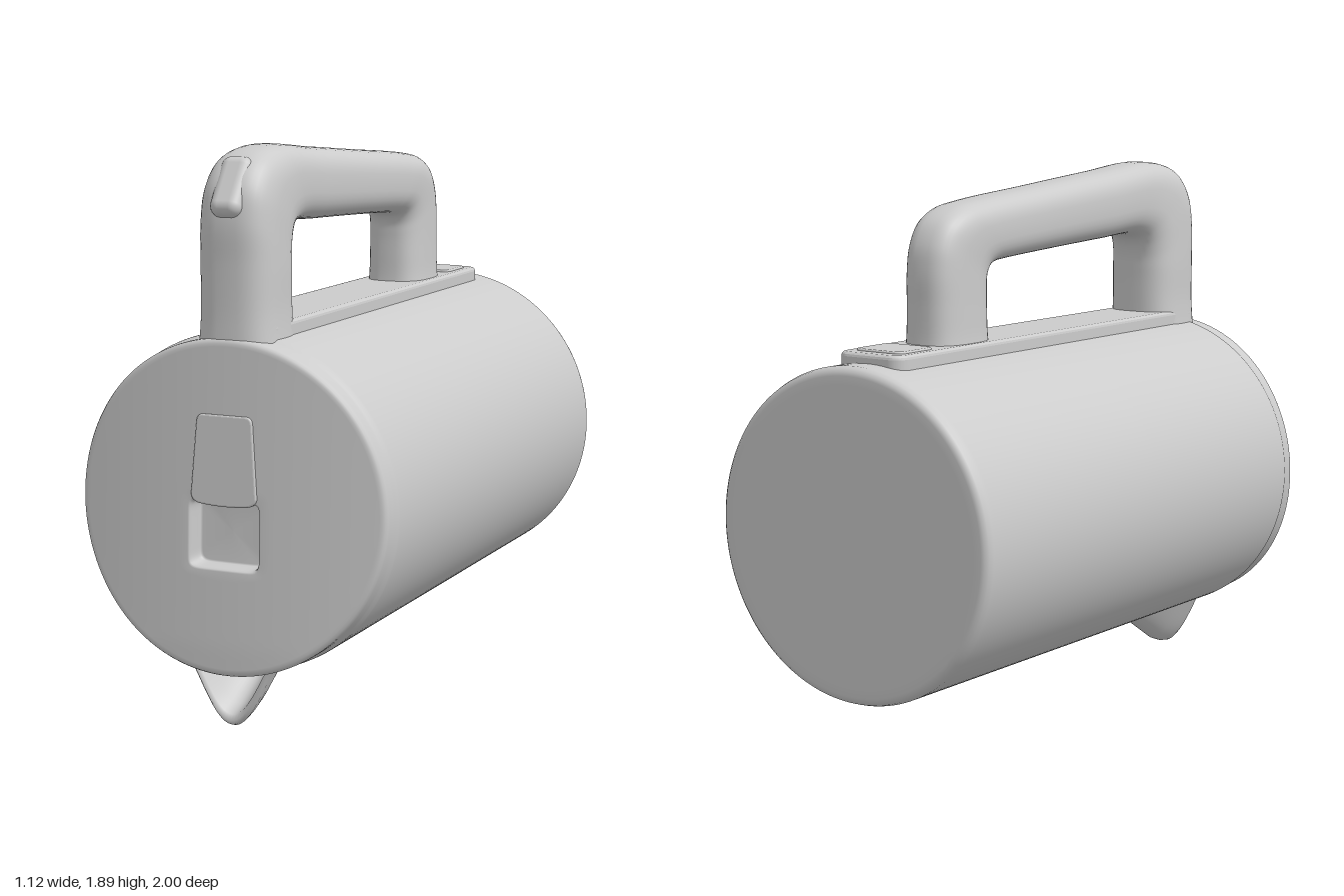
import * as THREE from 'three';
import { RoundedBoxGeometry } from 'three/addons/geometries/RoundedBoxGeometry.js';

const CY = 0.735; // height of the body axis
const material = new THREE.MeshStandardMaterial({ color: 0xcccccc });
const thin = new THREE.MeshStandardMaterial({ color: 0xcccccc, side: THREE.DoubleSide });

// Skin a list of cross-sections (arrays of Vector3 of equal length)
function loft(rows, closed = true) {
  const n = rows[0].length, index = [];
  for (let i = 0; i < rows.length - 1; i++) {
    for (let j = 0; j < (closed ? n : n - 1); j++) {
      const k = (j + 1) % n;
      const a = i * n + j, b = i * n + k, c = b + n, d = a + n;
      index.push(a, b, c, a, c, d);
    }
  }
  const g = new THREE.BufferGeometry().setFromPoints(rows.flat());
  g.setIndex(index);
  g.computeVertexNormals();
  return g;
}

function ring(n, fn) {
  return Array.from({ length: n }, (_, j) => fn((j / n) * Math.PI * 2));
}

// Slightly tilted and bowed front face of the lid
const lidZ = (x, y) => Math.min(1, 0.96 + 0.04 * (1.28 - y)) - 0.16 * x * x;

// Cylinder wall, lid face and the rectangular recess in one skin
function bodyGeometry() {
  const N = 160, rows = [];
  const circle = (r, a) => [r * Math.cos(a), CY + r * Math.sin(a)];
  const hole = (s, a) => {
    const r = s * Math.pow(Math.abs(Math.cos(a) / 0.125) ** 9 + Math.abs(Math.sin(a) / 0.112) ** 9, -1 / 9);
    return [r * Math.cos(a), 0.65 + r * Math.sin(a)];
  };
  const profile = [[0, -1], [0.5, -1], [0.53, -1], [0.543, -0.997], [0.554, -0.987], [0.56, -0.97], [0.56, -0.95],
    [0.56, 0], [0.56, 0.85], [0.559, 0.862], [0.553, 0.875], [0.55, 0.885]];
  for (const [r, z] of profile) rows.push(ring(N, a => new THREE.Vector3(...circle(r, a), z)));
  for (const [r, drop] of [[0.55, 0.025], [0.549, 0.012], [0.544, 0.004], [0.535, 0], [0.525, 0]]) {
    rows.push(ring(N, a => {
      const [x, y] = circle(r, a);
      return new THREE.Vector3(x, y, lidZ(x, y) - drop);
    }));
  }
  for (let i = 1; i <= 10; i++) {
    rows.push(ring(N, a => {
      const p = circle(0.525, a), q = hole(1.06, a), t = i / 10;
      const x = p[0] + (q[0] - p[0]) * t, y = p[1] + (q[1] - p[1]) * t;
      return new THREE.Vector3(x, y, lidZ(x, y));
    }));
  }
  for (const [s, depth] of [[1.01, 0.003], [0.985, 0.012], [0.97, 0.05], [0.95, 0.065], [0.9, 0.07], [0.001, 0.07]]) {
    rows.push(ring(N, a => {
      const [x, y] = hole(s, a);
      return new THREE.Vector3(x, y, lidZ(x, y) - depth);
    }));
  }
  return loft(rows);
}

// Handle: outer [z, y], inner [z, y] and half width at stations along the grip
function handleGeometry() {
  const stations = [
    [0.955, 1.2, 0.665, 1.2, 0.15], [0.953, 1.27, 0.665, 1.29, 0.14], [0.95, 1.36, 0.665, 1.38, 0.134],
    [0.95, 1.52, 0.664, 1.48, 0.134], [0.952, 1.66, 0.66, 1.54, 0.132], [0.93, 1.77, 0.645, 1.585, 0.13],
    [0.86, 1.85, 0.62, 1.61, 0.126], [0.72, 1.885, 0.56, 1.625, 0.12], [0.4, 1.862, 0.38, 1.618, 0.117],
    [0, 1.828, 0, 1.6, 0.114], [-0.36, 1.797, -0.22, 1.587, 0.112], [-0.48, 1.777, -0.28, 1.58, 0.11],
    [-0.56, 1.733, -0.31, 1.567, 0.108], [-0.605, 1.66, -0.326, 1.54, 0.106], [-0.62, 1.57, -0.33, 1.5, 0.106],
    [-0.62, 1.45, -0.33, 1.42, 0.107], [-0.622, 1.34, -0.328, 1.34, 0.11], [-0.63, 1.26, -0.32, 1.26, 0.12]];
  const curve = f => new THREE.CatmullRomCurve3(stations.map(f));
  const outer = curve(s => new THREE.Vector3(s[4], s[1], s[0]));
  const inner = curve(s => new THREE.Vector3(s[4], s[3], s[2]));
  const soft = v => Math.sign(v) * Math.abs(v) ** 0.72;
  const rows = [];
  for (let i = 0; i <= 102; i++) {
    const o = outer.getPoint(i / 102), n = inner.getPoint(i / 102);
    const mid = o.clone().add(n).multiplyScalar(0.5), half = o.clone().sub(n).multiplyScalar(0.5);
    rows.push(ring(40, a => new THREE.Vector3(
      mid.x * soft(Math.sin(a)),
      mid.y + half.y * soft(Math.cos(a)),
      mid.z + half.z * soft(Math.cos(a)))));
  }
  return loft(rows);
}

// Pouring lip: V-shaped sections swelling forward, then folding inside
function spoutGeometry() {
  const sections = [[0.5, 0.05, 0.19], [0.58, 0.08, 0.168], [0.66, 0.115, 0.13], [0.75, 0.145, 0.075],
    [0.83, 0.163, 0.025], [0.88, 0.172, 0.007], [0.92, 0.178, 0], [0.94, 0.178, 0.008], [0.946, 0.172, 0.022],
    [0.935, 0.16, 0.04], [0.88, 0.15, 0.06], [0.75, 0.12, 0.13], [0.65, 0.08, 0.19]];
  const rows = sections.map(([z, w, tip]) => Array.from({ length: 33 }, (_, j) => {
    const t = j / 16 - 1;
    return new THREE.Vector3(w * t, 0.25 - (0.25 - tip) * Math.max(0, Math.cos(t * Math.PI / 2)) ** 1.35, z);
  }));
  return loft(rows, false);
}

// Rectangle with rounded corners
function roundedRect(w, h, r) {
  const s = new THREE.Shape();
  s.absarc(w - r, h - r, r, 0, Math.PI / 2);
  s.absarc(r - w, h - r, r, Math.PI / 2, Math.PI);
  s.absarc(r - w, r - h, r, Math.PI, Math.PI * 1.5);
  s.absarc(w - r, r - h, r, Math.PI * 1.5, Math.PI * 2);
  return s;
}

function slab(shape, depth, bevel) {
  return new THREE.ExtrudeGeometry(shape, {
    depth: depth - bevel, bevelThickness: bevel, bevelSize: bevel, bevelOffset: -bevel, bevelSegments: 3, curveSegments: 10 });
}

export function createModel() {
  const model = new THREE.Group();
  const add = (name, geometry, mat = material) => {
    const mesh = new THREE.Mesh(geometry, mat);
    mesh.name = name;
    model.add(mesh);
    return mesh;
  };

  add('body', bodyGeometry());
  add('handle', handleGeometry());
  add('spout', spoutGeometry(), thin);

  // Long mounting strip under the handle
  const strip = add('handleBase', slab(roundedRect(0.135, 0.9, 0.05), 0.08, 0.014));
  strip.rotation.x = -Math.PI / 2;
  strip.position.set(0, 1.247, 0);

  // Low pad at the rear end of the strip
  const pad = add('rearPad', slab(roundedRect(0.1, 0.09, 0.03), 0.025, 0.006));
  pad.rotation.x = -Math.PI / 2;
  pad.position.set(0, 1.309, -0.76);

  // Lid latch overhanging the recess, with a bowed lower edge
  const latchShape = new THREE.Shape();
  latchShape.moveTo(-0.118, 0.03);
  latchShape.quadraticCurveTo(-0.11, 0.005, -0.08, 0.003);
  latchShape.quadraticCurveTo(0, -0.006, 0.08, 0.003);
  latchShape.quadraticCurveTo(0.11, 0.005, 0.118, 0.03);
  latchShape.lineTo(0.1, 0.27);
  latchShape.quadraticCurveTo(0.098, 0.295, 0.075, 0.295);
  latchShape.lineTo(-0.075, 0.295);
  latchShape.quadraticCurveTo(-0.098, 0.295, -0.1, 0.27);
  const latch = add('lidLatch', slab(latchShape, 0.024, 0.006));
  latch.rotation.x = -0.04;
  latch.position.set(0, 0.745, 0.964);

  // Thumb button on the front shoulder of the handle
  const button = add('thumbButton', new RoundedBoxGeometry(0.11, 0.21, 0.09, 5, 0.035));
  button.rotation.x = -0.6;
  button.position.set(0, 1.757, 0.892);

  return model;
}
